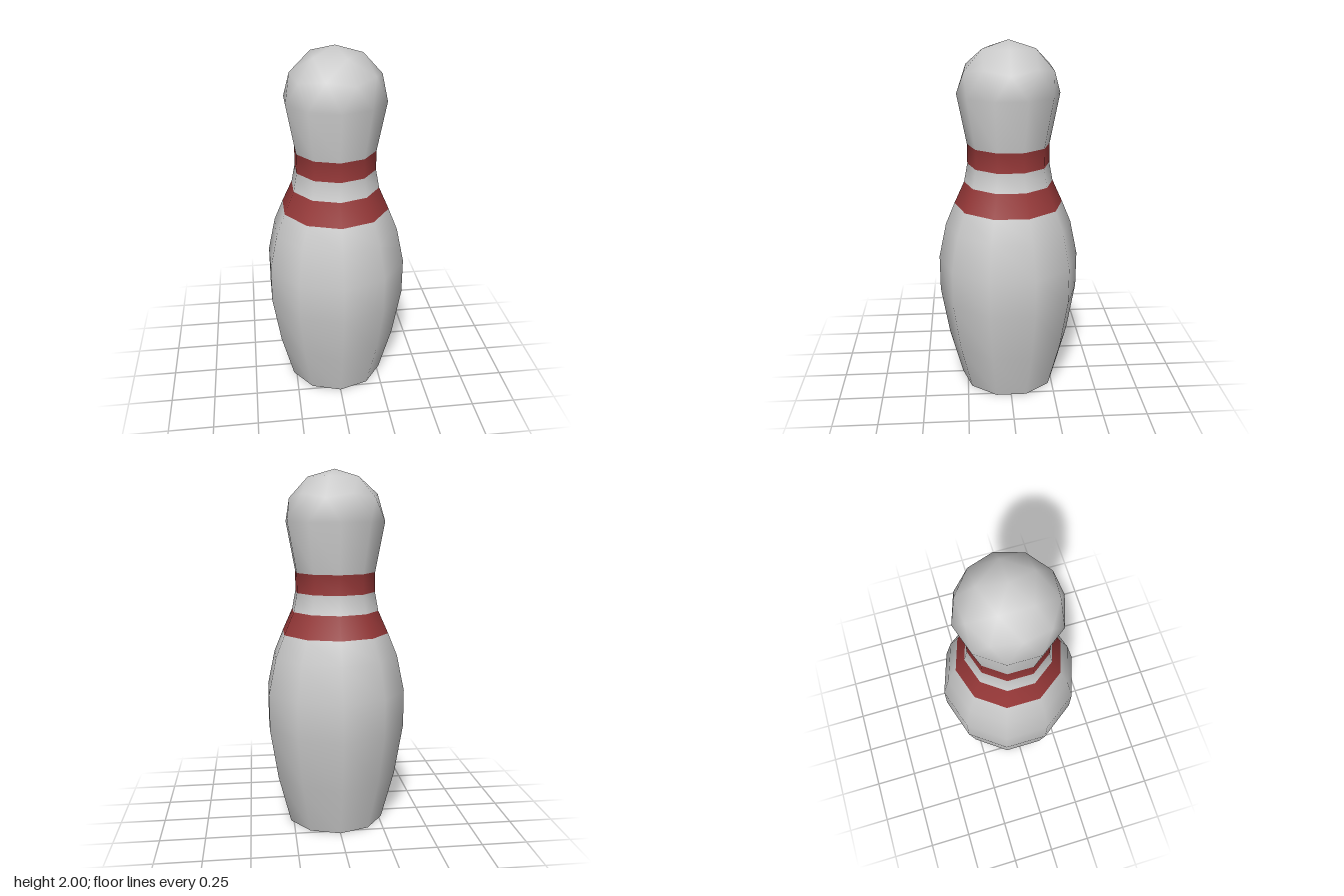
import * as THREE from 'three';
import { mergeGeometries, mergeVertices } from 'three/addons/utils/BufferGeometryUtils.js';

const SIDES = 10;
const HEAD_R = 0.28, HEAD_Y = 1.72;

// Outline from foot to the widest part of the head: [radius, height]
const PROFILE = [
  [0.28, 0], [0.353, 0.28], [0.4, 0.57], [0.4, 0.78], [0.357, 0.98], [0.305, 1.105],
  [0.248, 1.23], [0.228, 1.335], [0.228, 1.445], [HEAD_R, HEAD_Y],
];

// Parts stacked by height: [name, bottom, top, colour]
const PARTS = [
  ['body', 0, 1.105, 0xcccccc],
  ['lowerStripe', 1.105, 1.23, 0x963838],
  ['neck', 1.23, 1.335, 0xcccccc],
  ['upperStripe', 1.335, 1.445, 0x963838],
  ['head', 1.445, 2.01, 0xcccccc],
];

// Keep only the triangles whose middle height lies in [low, high]
function sliceByHeight(geometry, low, high) {
  const pos = geometry.attributes.position, index = geometry.index.array, kept = [];
  for (let i = 0; i < index.length; i += 3) {
    const tri = [index[i], index[i + 1], index[i + 2]];
    const y = tri.reduce((sum, v) => sum + pos.getY(v), 0) / 3;
    if (y > low && y < high) kept.push(...tri);
  }
  const slice = geometry.clone();
  slice.setIndex(kept);
  return slice;
}

function positionsOnly(geometry) {
  geometry.deleteAttribute('normal');
  geometry.deleteAttribute('uv');
  return mergeVertices(geometry, 0.001);
}

// Turned lower shell joined to a half icosphere, with continuous smooth normals
function createShell() {
  const lathe = positionsOnly(new THREE.LatheGeometry(PROFILE.map(([r, y]) => new THREE.Vector2(r, y)), SIDES));
  const sphere = new THREE.IcosahedronGeometry(HEAD_R, 1);
  sphere.rotateZ(-Math.atan(2 / (1 + Math.sqrt(5)))); // one corner at the pole
  sphere.translate(0, HEAD_Y, 0);
  const dome = sliceByHeight(positionsOnly(sphere), HEAD_Y + 0.001, 3);
  const shell = mergeVertices(mergeGeometries([lathe, dome]), 0.001);
  shell.computeVertexNormals();
  return shell;
}

export function createModel() {
  const model = new THREE.Group();
  model.name = 'bowlingPin';
  const add = (name, geometry, color) => {
    const mesh = new THREE.Mesh(geometry, new THREE.MeshStandardMaterial({ color }));
    mesh.name = name;
    model.add(mesh);
  };

  const shell = createShell();
  for (const [name, low, high, color] of PARTS) add(name, sliceByHeight(shell, low, high), color);

  // Flat underside
  const base = new THREE.CircleGeometry(PROFILE[0][0], SIDES, Math.PI / 2);
  base.rotateX(Math.PI / 2);
  add('base', base, 0xcccccc);

  return model;
}
